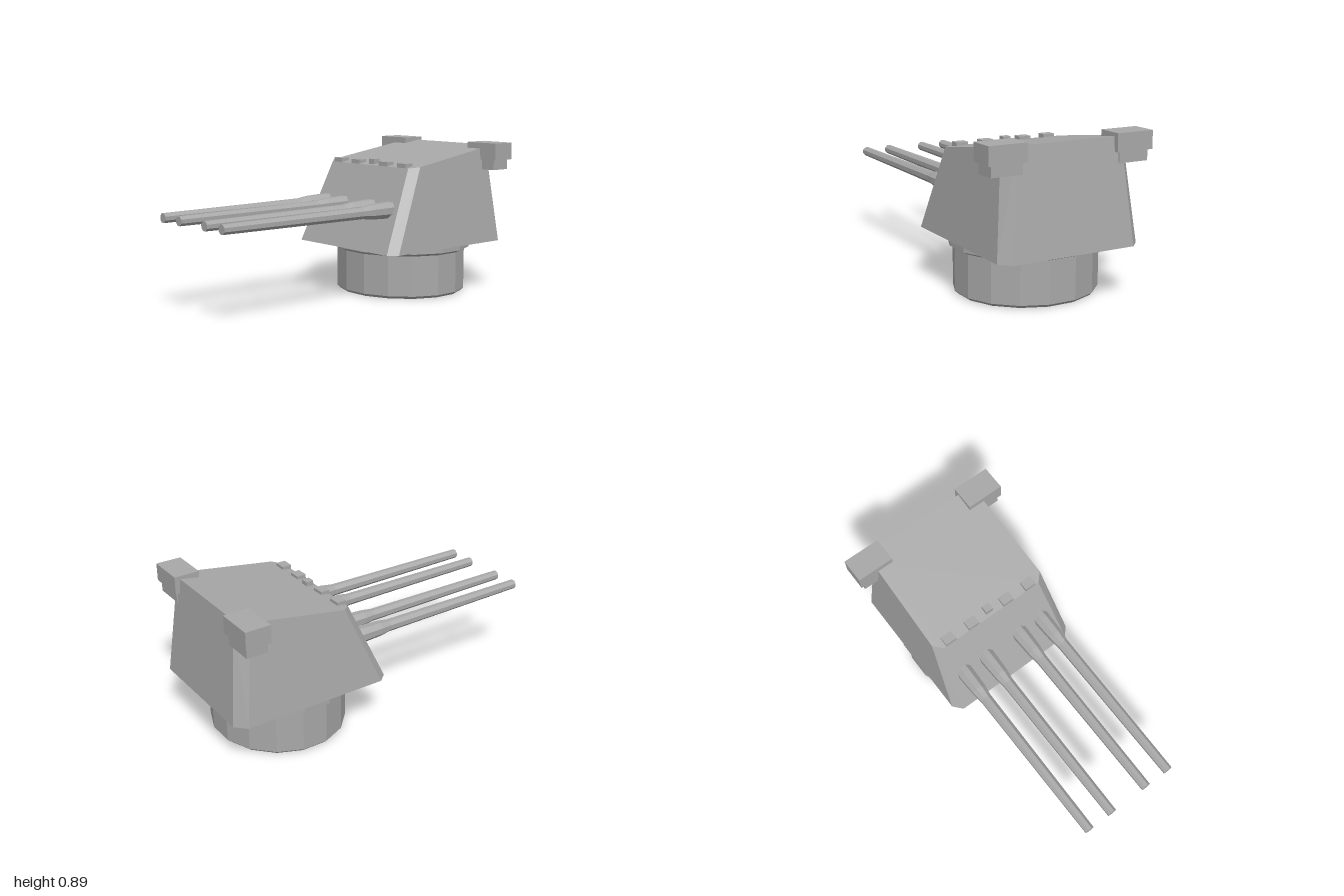
import * as THREE from 'three';
import { ConvexGeometry } from 'three/addons/geometries/ConvexGeometry.js';

export function createModel() {
  const root = new THREE.Group();
  const steel = new THREE.MeshStandardMaterial({ color: 0xa8a8a8 });
  steel.name = 'grey steel';

  const add = (name, geometry, x = 0, y = 0, z = 0) => {
    const mesh = new THREE.Mesh(geometry, steel);
    mesh.name = name;
    mesh.position.set(x, y, z);
    root.add(mesh);
    return mesh;
  };
  // Box given by its centre x, width and y / z ranges
  const box = (name, x, w, y0, y1, z0, z1) =>
    add(name, new THREE.BoxGeometry(w, y1 - y0, z1 - z0), x, (y0 + y1) / 2, (z0 + z1) / 2);
  // Faceted solid of revolution from [radius, height] pairs
  const faceted = (profile, sides) => {
    const pts = profile.map(([r, h]) => new THREE.Vector2(r, h));
    const g = new THREE.LatheGeometry(pts, sides, Math.PI / sides).toNonIndexed();
    g.computeVertexNormals();
    return g;
  };

  // Round base with bevelled foot and collar, slightly flattened in depth
  const base = add('barbette', faceted([
    [0, 0], [0.388, 0], [0.405, 0.016], [0.405, 0.255],
    [0.433, 0.27], [0.433, 0.295], [0, 0.295],
  ], 16), 0, 0, -0.518);
  base.scale.z = 0.937;

  // Armoured house: chamfered floor outline tapering to a sloping roof
  const roofY = (z) => 0.77 - (z + 0.255) * 0.157;
  const floor = [[0.38, -0.043], [0.425, -0.095], [0.425, -0.94], [0.365, -1.0]];
  const roof = [[0.33, -0.255], [0.377, -0.305], [0.367, -0.87], [0.31, -0.935]];
  const corners = [];
  for (const s of [-1, 1]) {
    for (const [x, z] of floor) corners.push(new THREE.Vector3(s * x, 0.295, z));
    for (const [x, z] of roof) corners.push(new THREE.Vector3(s * x, roofY(z), z));
  }
  add('gunHouse', new ConvexGeometry(corners));

  // Four stepped octagonal barrels, with a sight hood above each
  const barrel = faceted([
    [0, -0.25], [0.049, -0.25], [0.049, -0.13], [0.044, -0.01],
    [0.035, 0.055], [0.033, 0.3], [0.028, 1], [0, 1],
  ], 8);
  barrel.rotateX(Math.PI / 2);
  for (const x of [-0.278, -0.121, 0.119, 0.275]) {
    add('gunBarrel', barrel, x, 0.535, 0);
    box('sightHood', x, 0.07, 0.765, 0.795, -0.31, -0.255);
  }
  box('centreSight', 0, 0.046, 0.772, 0.804, -0.318, -0.274);

  // Rangefinder housings on the rear roof corners
  for (const s of [-1, 1]) {
    box('rangefinderHousing', s * 0.38, 0.222, 0.795, 0.895, -0.968, -0.822);
    box('rangefinderBracket', s * 0.38, 0.18, 0.735, 0.795, -0.955, -0.833);
  }
  return root;
}
